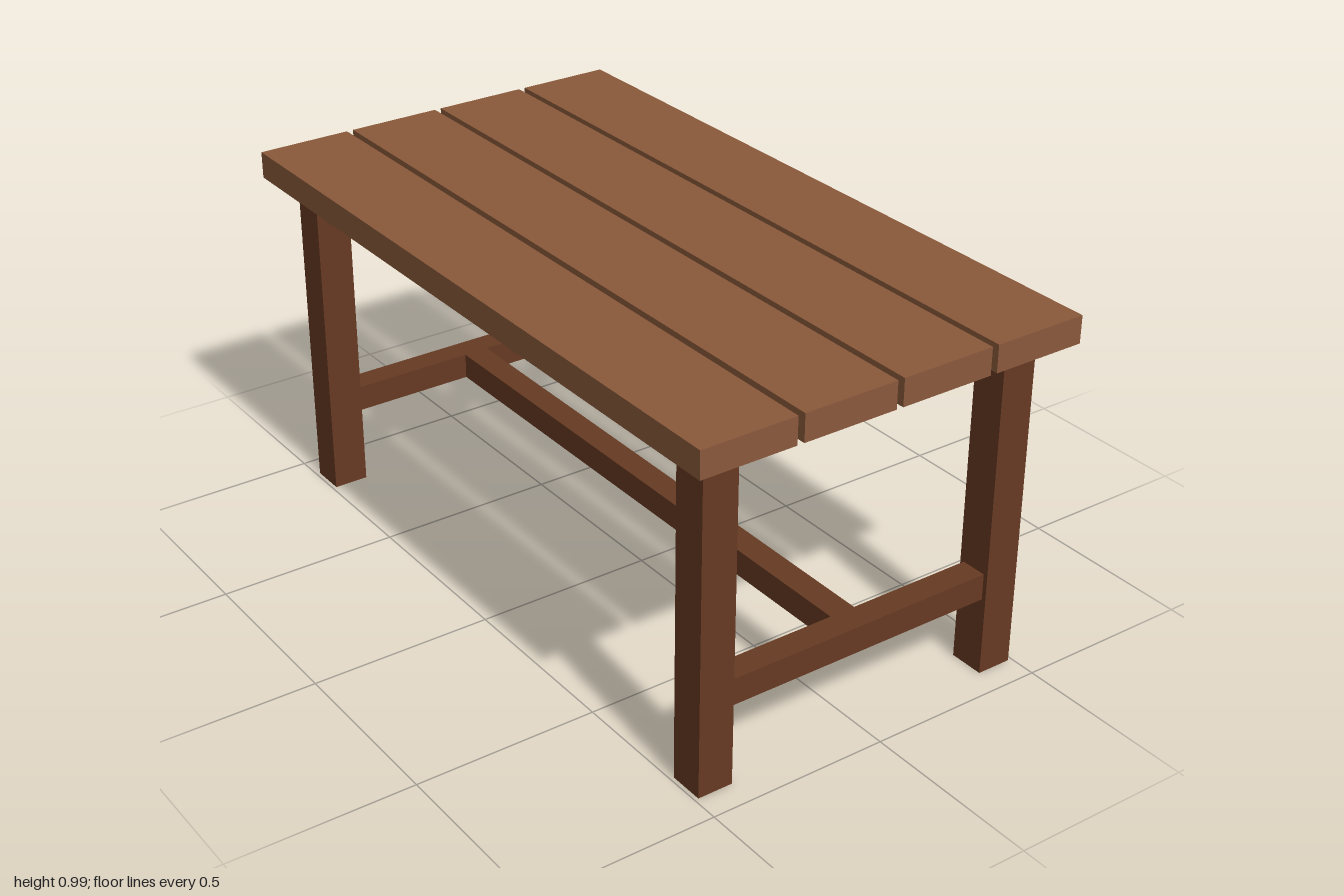
import * as THREE from 'three';

export function createModel() {
  const table = new THREE.Group();
  table.name = 'plankTable';

  const topWood = new THREE.MeshStandardMaterial({ color: 0x8b5a3c });
  topWood.name = 'lightBrownWood';
  const frameWood = new THREE.MeshStandardMaterial({ color: 0x673a22 });
  frameWood.name = 'darkBrownWood';

  const addBox = (name, material, size, position) => {
    const mesh = new THREE.Mesh(new THREE.BoxGeometry(...size), material);
    mesh.name = name;
    mesh.position.set(...position);
    table.add(mesh);
  };

  const height = 0.99, plankThick = 0.074, plankWidth = 0.263, plankPitch = 0.282;
  const legHeight = height - plankThick, legWidth = 0.098;
  const legX = 0.875, legZ = 0.44;
  const railWidth = 0.073, railY = 0.251;

  // Table top: four planks with narrow gaps
  for (let i = 0; i < 4; i++) {
    addBox('topPlank', topWood, [2, plankThick, plankWidth],
      [0, height - plankThick / 2, (i - 1.5) * plankPitch]);
  }

  for (const side of [-1, 1]) {
    // Front and back legs
    for (const end of [-1, 1]) {
      addBox(end > 0 ? 'frontLeg' : 'backLeg', frameWood, [legWidth, legHeight, legWidth],
        [side * legX, legHeight / 2, end * legZ]);
    }
    // Side rail between each pair of legs
    addBox('sideRail', frameWood, [railWidth, railWidth, 2 * legZ - legWidth],
      [side * legX, railY, 0]);
  }

  // Long stretcher joining the side rails
  addBox('longStretcher', frameWood, [2 * legX - railWidth, railWidth, railWidth], [0, railY, 0]);

  return table;
}
